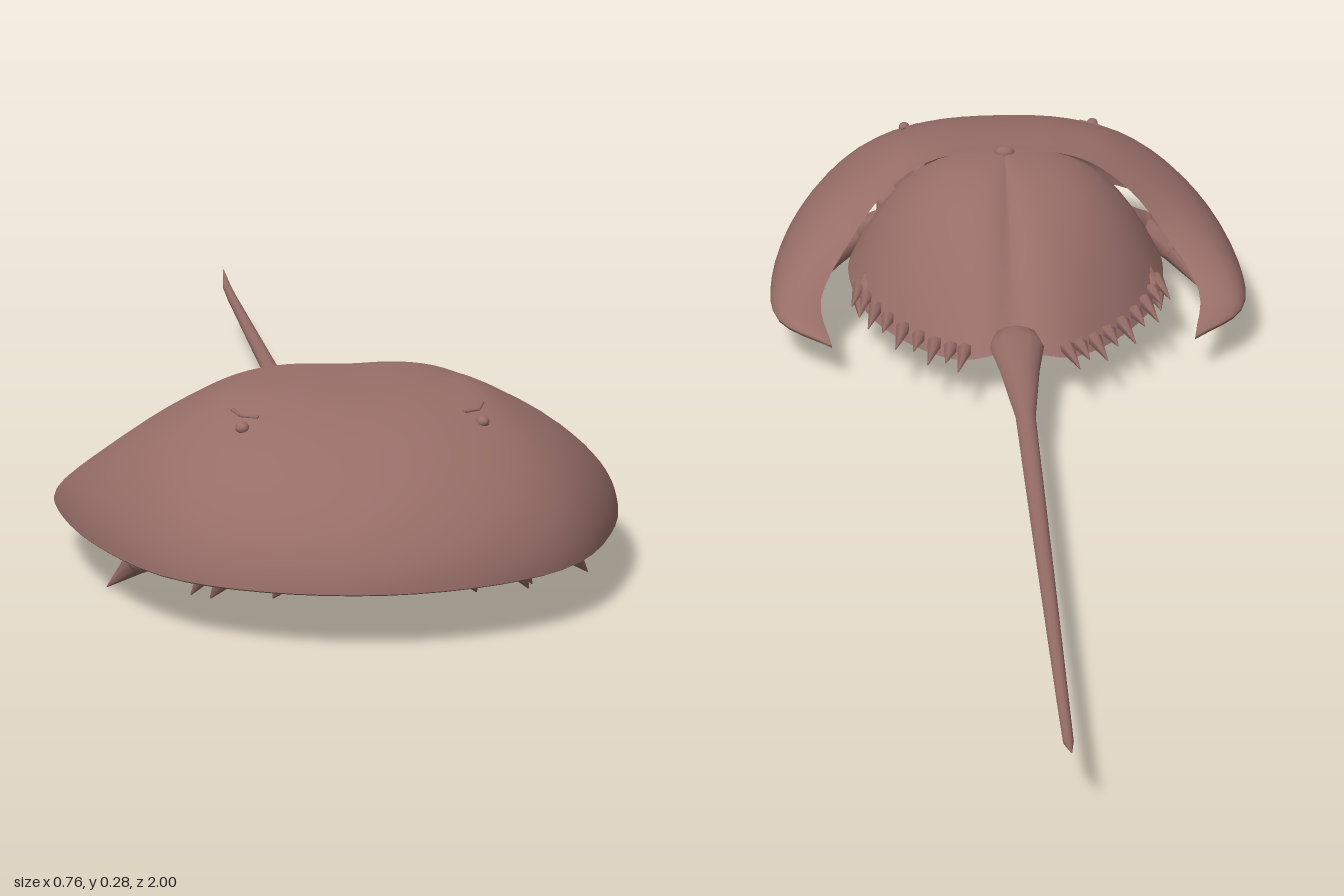
import * as THREE from 'three';

const shell = new THREE.MeshStandardMaterial({ color: 0x976d67, side: THREE.DoubleSide });
shell.name = 'brown shell';
const grey = new THREE.MeshStandardMaterial({ color: 0xe7e7e7, side: THREE.DoubleSide });
grey.name = 'pale grey plate';

const V = (x, y, z) => new THREE.Vector3(x, y, z);

// Smooth surface from a rule p(u, v), u and v running 0..1
function surface(nu, nv, p) {
  const pos = [], idx = [];
  for (let i = 0; i <= nu; i++)
    for (let j = 0; j <= nv; j++) pos.push(...p(i / nu, j / nv).toArray());
  for (let i = 0; i < nu; i++)
    for (let j = 0; j < nv; j++) {
      const a = i * (nv + 1) + j, b = a + nv + 1;
      idx.push(a, a + 1, b, b, a + 1, b + 1);
    }
  const g = new THREE.BufferGeometry();
  g.setAttribute('position', new THREE.Float32BufferAttribute(pos, 3));
  g.setIndex(idx);
  g.computeVertexNormals();
  return g;
}

// Mirror a half outline (starting on the centre line) into one smooth curve
function mirrored(half) {
  const pts = half.map(p => V(...p));
  const other = pts.slice(1).reverse().map(p => V(-p.x, p.y, p.z));
  return new THREE.CatmullRomCurve3([...other, ...pts], false, 'catmullrom', 0.5);
}

// Front shield: outer rim and rear edge, joined by a domed profile with two low shoulders
const rim = mirrored([[0, .077, .997], [.152, .077, .963], [.27, .077, .872], [.347, .08, .71],
  [.379, .08, .54], [.368, .073, .4], [.285, .065, .315]]);
const rear = mirrored([[0, .283, .593], [.075, .283, .587], [.14, .268, .57], [.2, .23, .535],
  [.25, .17, .5], [.3, .1, .42], [.285, .065, .315]]);
function shieldPoint(u, s, drop = 0, inset = 1) {
  const a = rear.getPoint(u), b = rim.getPoint(u);
  const p = a.clone().lerp(b, s * inset);
  p.y = b.y + (a.y - b.y) * (1 - drop) * Math.max(0, 1 - s ** 2.2) ** .6;
  p.y += .006 * Math.exp(-(((Math.abs(p.x) - .17) / .03) ** 2) - ((p.z - .67) / .06) ** 2);
  return p;
}

// Rear shield: dome spreading from an apex under the front shield, fuller at the sides
const rearRim = mirrored([[0, .08, .258], [.045, .072, .245], [.095, .062, .26], [.155, .06, .315],
  [.212, .065, .395], [.245, .075, .48], [.255, .085, .56], [.25, .09, .61]]);
const apex = V(0, .272, .6);
function rearPoint(u, s, drop = 0) {
  const b = rearRim.getPoint(u), p = apex.clone().lerp(b, s);
  p.y = b.y + (apex.y - b.y - drop) * (1 - s ** (1.8 + 4.5 * Math.abs(b.x)));
  return p;
}

export function createModel() {
  const model = new THREE.Group();
  const add = (name, geo, parent = model, mat = shell) => {
    const m = new THREE.Mesh(geo, mat);
    m.name = name;
    parent.add(m);
    return m;
  };
  const group = name => {
    const g = new THREE.Group();
    g.name = name;
    model.add(g);
    return g;
  };
  // Tapered round piece between two points
  const limb = (name, a, b, ra, rb, parent, sides = 8) => {
    const d = b.clone().sub(a);
    const m = add(name, new THREE.CylinderGeometry(rb, ra, d.length(), sides), parent);
    m.position.copy(a).add(b).multiplyScalar(.5);
    m.quaternion.setFromUnitVectors(V(0, 1, 0), d.normalize());
  };
  const blob = (name, p, sx, sy, sz, parent = model) => {
    const m = add(name, new THREE.SphereGeometry(1, 14, 10), parent);
    m.position.copy(p);
    m.scale.set(sx, sy, sz);
  };

  // Shields, with thin linings and a narrow rim ledge
  const sine = v => Math.sin(v * Math.PI / 2);
  add('frontShield', surface(48, 14, (u, v) => shieldPoint(u, sine(v))));
  add('frontShieldLining', surface(48, 10, (u, v) => shieldPoint(u, sine(v), .05, .95)));
  add('rimLedge', surface(48, 2, (u, v) => {
    const p = shieldPoint(u, 1, 0, 1 - .05 * v);
    p.y -= .004 * Math.sin(v * Math.PI);
    return p;
  }));
  add('rearShield', surface(48, 12, (u, v) => rearPoint(u, v)));
  add('rearShieldLining', surface(48, 8, (u, v) => rearPoint(u, v, .015)));
  blob('rearEdgeKnob', V(0, .272, .592), .016, .01, .012);

  // Tail spine: flattened rings along z, with an upturned point
  const tailRings = [[.287, .012, .008, .094], [.272, .034, .018, .094], [.235, .042, .024, .092],
    [.15, .03, .019, .09], [0, .015, .011, .086], [-.4, .012, .01, .084],
    [-.85, .008, .008, .083], [-.94, .007, .007, .085], [-1, .0008, .0008, .104]];
  add('tailSpine', surface(tailRings.length - 1, 12, (u, v) => {
    const [z, w, h, y] = tailRings[Math.round(u * (tailRings.length - 1))];
    const a = v * Math.PI * 2;
    return V(w * Math.cos(a), y + h * Math.sin(a), z);
  }));

  // Underside: mouth mound and flat plate
  blob('body', V(0, .13, .68), .075, .05, .17);
  blob('mouth', V(0, .085, .68), .035, .022, .08);
  const plate = add('basePlate', new THREE.PlaneGeometry(.39, .39), model, grey);
  plate.rotation.x = Math.PI / 2;
  plate.position.set(0, .045, .637);

  // Walking legs as hip, knee, ankle, claw bend, tip
  const legs = [
    [[.04, .11, .79], [.08, .13, .87], [.1, .09, .91], [.118, .075, .91], [.13, .05, .9]],
    [[.05, .11, .75], [.13, .14, .84], [.16, .09, .875], [.187, .072, .87], [.205, .04, .855]],
    [[.06, .11, .7], [.15, .14, .77], [.17, .09, .815], [.2, .067, .808], [.223, .025, .782]],
    [[.06, .11, .63], [.17, .135, .67], [.232, .088, .715], [.28, .053, .695], [.322, .003, .652]],
    [[.06, .11, .56], [.17, .12, .54], [.22, .095, .49], [.235, .08, .46], [.24, .065, .42]],
  ];
  for (const side of [1, -1]) {
    const tag = side > 0 ? 'left' : 'right';
    const legGroup = group(tag + 'Legs');
    legs.forEach((points, i) => {
      const p = points.map(([x, y, z]) => V(side * x, y, z));
      const r = i === 3 ? .024 : .018;
      const radii = [r * .8, r * .8, r, r * .85, .001];
      ['thigh', 'shin', 'clawBase', 'clawTip'].forEach((name, k) => {
        limb(name, p[k], p[k + 1], radii[k], radii[k + 1], legGroup);
        if (k) blob('joint', p[k], radii[k], radii[k], radii[k], legGroup);
      });
    });
    limb('feeler', V(side * .015, .1, .8), V(side * .025, .07, .88), .011, .002, legGroup);

    // Edge spines: alternate long and short
    const spines = group(tag + 'EdgeSpines');
    for (let i = 0; i < 9; i++) {
      const base = rearPoint(.5 + side * (.125 + .029 * i), .97);
      const len = i % 2 ? .065 : .09;
      const tip = base.clone().add(V(side * .16 * len, .004, -len));
      limb('edgeSpine', base, tip, .012, .0008, spines, 6);
    }

    // Small eye under a faint brow ridge
    const eye = group(tag + 'Eye');
    blob('eyeball', shieldPoint(.5 + side * .114, .56), .009, .008, .011, eye);
    const brow = [[.1, .5], [.12, .49], [.132, .45]]
      .map(([u, s]) => shieldPoint(.5 + side * u, s));
    brow.slice(1).forEach((p, i) => limb('browRidge', brow[i], p, .0025, .0025, eye, 6));
  }
  return model;
}
